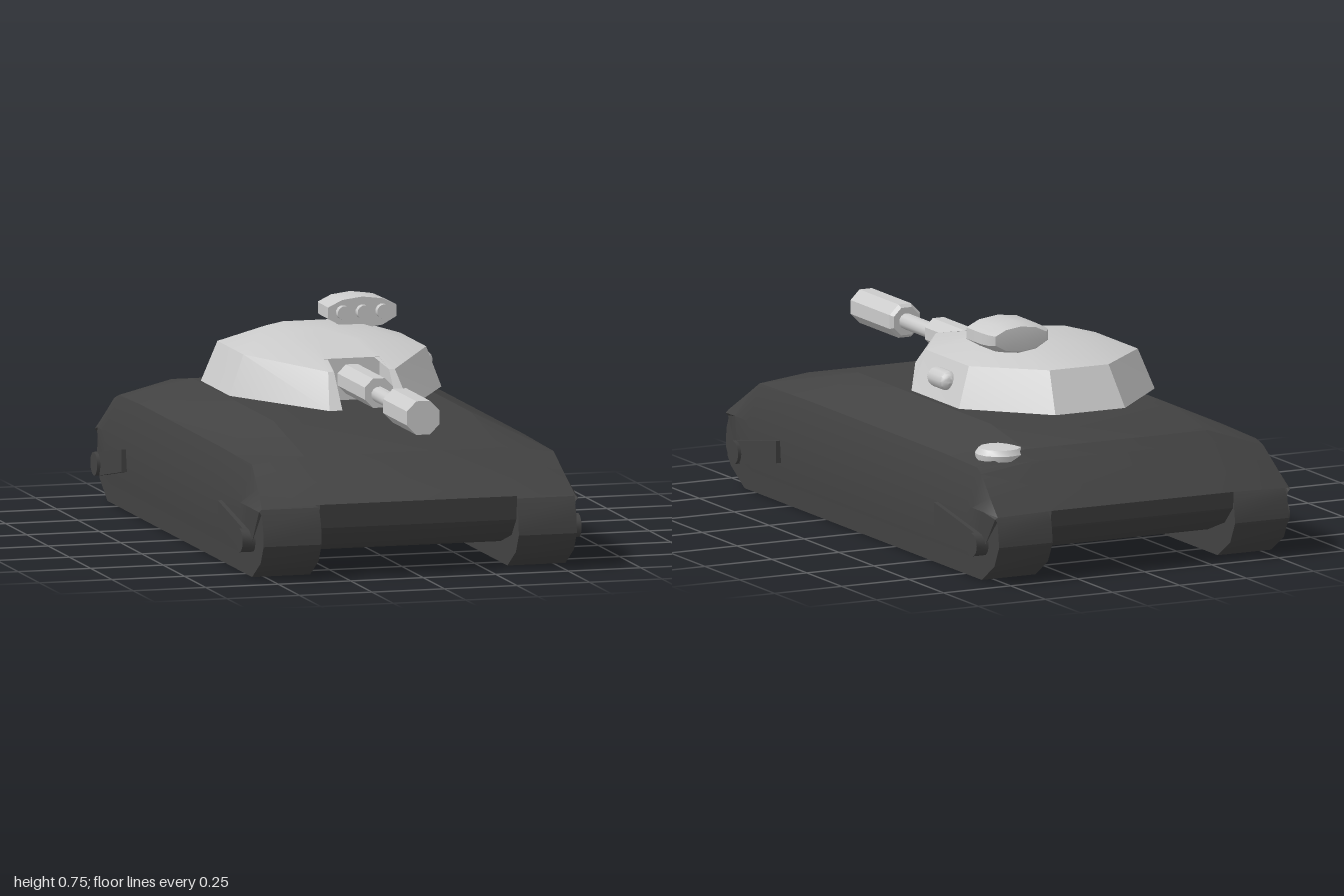
import * as THREE from 'three';
import { toCreasedNormals } from 'three/addons/utils/BufferGeometryUtils.js';

const light = new THREE.MeshStandardMaterial({ color: 0xcccccc });
const dark = new THREE.MeshStandardMaterial({ color: 0x424242 });
const darkThin = new THREE.MeshStandardMaterial({ color: 0x424242, side: THREE.DoubleSide });

function mesh(parent, name, geometry, material, crease = 0.55) {
  const g = geometry.index ? geometry.toNonIndexed() : geometry;
  const m = new THREE.Mesh(toCreasedNormals(g, crease), material);
  m.name = name;
  parent.add(m);
  return m;
}

// Skin rows of [x, y, z] points into one surface
function loft(rows) {
  const n = rows[0].length, index = [];
  for (let i = 0; i < rows.length - 1; i++) {
    for (let j = 0; j < n - 1; j++) {
      const a = i * n + j, c = a + n;
      index.push(a, a + 1, c, a + 1, c + 1, c);
    }
  }
  const g = new THREE.BufferGeometry();
  g.setAttribute('position', new THREE.Float32BufferAttribute(rows.flat(2), 3));
  g.setIndex(index);
  return g;
}

// Extrude a (z, y) side profile from x0 to x1
function sideExtrude(profile, x0, x1) {
  const shape = new THREE.Shape(profile.map(([z, y]) => new THREE.Vector2(z, y)));
  const g = new THREE.ExtrudeGeometry(shape, { depth: x1 - x0, bevelEnabled: false });
  return g.rotateY(-Math.PI / 2).translate(x1, 0, 0);
}

// Cylinder along z between two stations
function rodZ(r, z0, z1, sides, x, y) {
  return new THREE.CylinderGeometry(r, r, z1 - z0, sides, 1, false, Math.PI / sides)
    .rotateX(Math.PI / 2).translate(x, y, (z0 + z1) / 2);
}

function buildHull(root) {
  const hull = new THREE.Group();
  hull.name = 'hull';
  root.add(hull);

  // Upper armour shell: z, deck y, shoulder x, shoulder y, sill x, sill y, skirt bottom y
  const stations = [
    [0.945, 0.25, 0.54, 0.245, 0.55, 0.235, 0.225],
    [0.86, 0.315, 0.53, 0.3, 0.56, 0.24, 0.11],
    [0.76, 0.385, 0.52, 0.365, 0.56, 0.24, 0.07],
    [0.4, 0.45, 0.52, 0.37, 0.56, 0.24, 0.07],
    [-0.55, 0.45, 0.52, 0.37, 0.56, 0.24, 0.07],
    [-0.8, 0.41, 0.52, 0.365, 0.56, 0.24, 0.07],
    [-0.84, 0.375, 0.525, 0.35, 0.56, 0.24, 0.08],
    [-0.92, 0.3, 0.535, 0.285, 0.56, 0.24, 0.13],
    [-0.985, 0.235, 0.54, 0.23, 0.55, 0.225, 0.215],
  ];
  const rows = stations.map(([z, yc, xs, ys, xo, yo, yb]) => {
    const half = [[0.34, yc], [xs, ys], [xo, yo], [xo - 0.008, yb]];
    const left = half.map(([x, y]) => [-x, y, z]).reverse();
    return [...left, ...half.map(([x, y]) => [x, y, z])];
  });
  mesh(hull, 'upperArmour', loft(rows), darkThin, 0.4);

  // Centre body with rounded nose, tail and belly
  mesh(hull, 'lowerBody', sideExtrude([
    [0.945, 0.25], [0.935, 0.17], [0.88, 0.11], [0.75, 0.07], [0.55, 0.06],
    [-0.6, 0.06], [-0.8, 0.075], [-0.92, 0.12], [-0.98, 0.18], [-0.985, 0.235],
    [-0.83, 0.33], [0.75, 0.33],
  ], -0.34, 0.34), dark);

  const track = [
    [0.935, 0.24], [0.96, 0.18], [0.965, 0.12], [0.93, 0.06], [0.83, 0],
    [-0.87, 0], [-0.96, 0.06], [-0.995, 0.13], [-0.985, 0.2], [-0.96, 0.235],
  ];
  for (const s of [1, -1]) {
    const side = s > 0 ? 'left' : 'right';
    mesh(hull, side + 'Track', sideExtrude(track, s > 0 ? 0.34 : -0.54, s > 0 ? 0.54 : -0.34), dark);

    // Hub and angled arm at each corner
    for (const [e, z, label] of [[1, 0.83, 'Front'], [-1, -0.88, 'Rear']]) {
      const hub = new THREE.CylinderGeometry(0.04, 0.04, 0.045, 12).rotateZ(Math.PI / 2);
      mesh(hull, side + label + 'Hub', hub.translate(s * 0.562, 0.125, z), dark);
      const arm = [[z, 0.165], [z - e * 0.29, 0.215], [z - e * 0.29, 0.14], [z - e * 0.03, 0.09]];
      if (e < 0) arm.reverse();
      const x0 = s > 0 ? 0.545 : -0.573;
      mesh(hull, side + label + 'Arm', sideExtrude(arm, x0, x0 + 0.028), dark);
    }
  }

  // Domed hatch on the rear deck
  const hatch = [[0, 0.32], [0.06, 0.32], [0.08, 0.375], [0.083, 0.395], [0.07, 0.413], [0, 0.418]]
    .map(([r, y]) => new THREE.Vector2(r, y));
  mesh(hull, 'deckHatch', new THREE.LatheGeometry(hatch, 12).translate(0.405, 0, -0.74), light);
}

function buildTurret(root) {
  const turret = new THREE.Group();
  turret.name = 'turret';
  root.add(turret);

  // Rings run from the gun notch round the prong, side and rear
  const ring = half => {
    const all = [...half, ...half.map(([x, y, z]) => [-x, y, z]).reverse()];
    return [...all, all[0]];
  };
  const base = ring([[0.095, 0.47, 0.16], [0.095, 0.47, 0.375], [0.14, 0.47, 0.375],
    [0.365, 0.47, -0.03], [0.365, 0.47, -0.37], [0.13, 0.47, -0.61]]);
  const eave = ring([[0.095, 0.61, 0.16], [0.095, 0.585, 0.275], [0.115, 0.585, 0.275],
    [0.315, 0.605, -0.04], [0.315, 0.605, -0.345], [0.11, 0.605, -0.53]]);
  const crown = ring([[0.05, 0.646, -0.02], [0.065, 0.646, -0.02], [0.09, 0.646, -0.025],
    [0.16, 0.655, -0.11], [0.16, 0.655, -0.31], [0.08, 0.655, -0.38]]);
  const peak = crown.map(() => [0, 0.657, -0.2]);
  mesh(turret, 'turretShell', loft([base, eave, crown, peak]), light, 0.5);

  const floor = new THREE.Shape(base.slice(0, -1).map(([x, , z]) => new THREE.Vector2(x, z)));
  mesh(turret, 'turretFloor', new THREE.ShapeGeometry(floor).rotateX(Math.PI / 2).translate(0, 0.47, 0), light);

  // Side capsule
  mesh(turret, 'sideSensor', new THREE.CapsuleGeometry(0.034, 0.075, 5, 12)
    .rotateX(Math.PI / 2).translate(0.34, 0.54, -0.205), light);

  // Gun: sleeve, slim barrel and octagonal muzzle
  mesh(turret, 'gunSleeve', rodZ(0.053, 0.15, 0.48, 8, 0, 0.54), light);
  mesh(turret, 'gunBarrel', rodZ(0.027, 0.47, 0.73, 12, 0, 0.535), light, 0.8);
  mesh(turret, 'gunMuzzle', rodZ(0.061, 0.72, 1, 8, 0, 0.535), light);
  mesh(turret, 'muzzleCollar', new THREE.CylinderGeometry(0.061, 0.05, 0.012, 8, 1, false, Math.PI / 8)
    .rotateX(Math.PI / 2).translate(0, 0.535, 0.714), light);

  // Launcher pod with three tubes
  const outline = [[-0.118, -0.018], [-0.118, 0.02], [-0.07, 0.043], [0, 0.052], [0.07, 0.043],
    [0.118, 0.02], [0.118, -0.018], [0.07, -0.045], [0, -0.054], [-0.07, -0.045], [-0.118, -0.018]];
  const podRows = [[0, -0.25], [1, -0.25], [1, -0.36], [0.94, -0.395], [0.8, -0.415], [0, -0.42]]
    .map(([k, z]) => outline.map(([x, y]) => [0.157 + x * k, 0.695 + y * k, z]));
  mesh(turret, 'launcherPod', loft(podRows), light, 0.75);
  for (const i of [-1, 0, 1]) {
    mesh(turret, 'launcherTube', rodZ(0.024, -0.27, -0.225, 12, 0.157 + i * 0.068, 0.697), light);
  }
}

export function createModel() {
  const root = new THREE.Group();
  root.name = 'tank';
  buildHull(root);
  buildTurret(root);
  return root;
}
